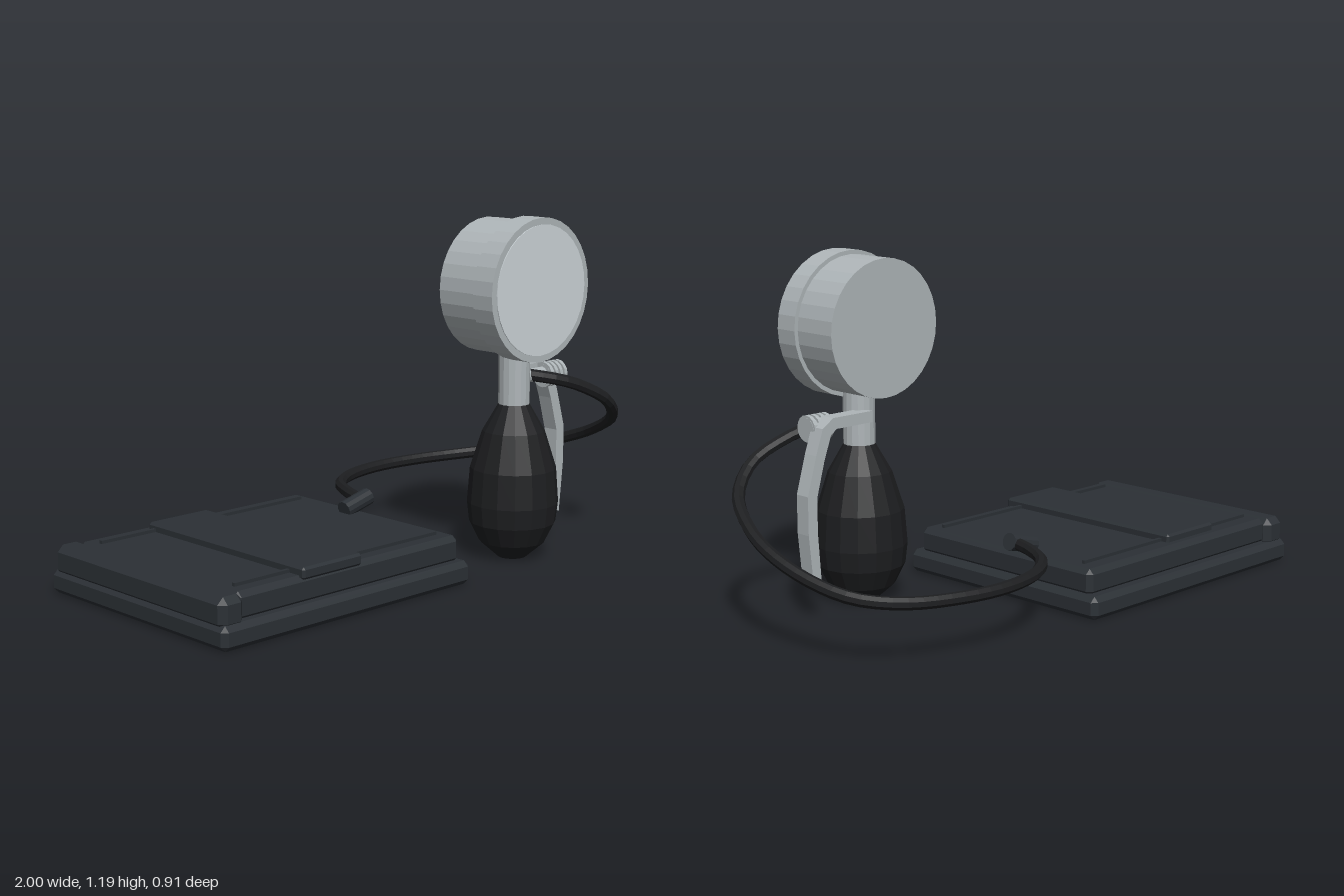
import * as THREE from 'three';
import { ConvexGeometry } from 'three/addons/geometries/ConvexGeometry.js';

const mat = (color) => new THREE.MeshStandardMaterial({ color, flatShading: true });

// Box between two corners with every edge chamfered by c
function chamferBox(x0, x1, y0, y1, z0, z1, c) {
  const pts = [];
  for (const [x, sx] of [[x0, 1], [x1, -1]])
    for (const [y, sy] of [[y0, 1], [y1, -1]])
      for (const [z, sz] of [[z0, 1], [z1, -1]]) {
        pts.push(new THREE.Vector3(x, y + sy * c, z + sz * c));
        pts.push(new THREE.Vector3(x + sx * c, y, z + sz * c));
        pts.push(new THREE.Vector3(x + sx * c, y + sy * c, z));
      }
  return new ConvexGeometry(pts);
}

export function createModel() {
  const model = new THREE.Group();
  model.name = 'bloodPressureGauge';
  const fabric = mat(0x2b3035), rubber = mat(0x1d1e20), metal = mat(0xaeb5b8), glass = mat(0xccd4d8);

  const add = (name, geometry, material, parent = model) => {
    const mesh = new THREE.Mesh(geometry, material);
    mesh.name = name;
    parent.add(mesh);
    return mesh;
  };
  // Cylinder whose axis runs between two points
  const rod = (name, a, b, r, sides, material, parent) => {
    const from = new THREE.Vector3(...a), to = new THREE.Vector3(...b);
    const dir = to.clone().sub(from);
    const mesh = add(name, new THREE.CylinderGeometry(r, r, dir.length(), sides), material, parent);
    mesh.position.copy(from).add(to).multiplyScalar(0.5);
    mesh.quaternion.setFromUnitVectors(new THREE.Vector3(0, 1, 0), dir.normalize());
    return mesh;
  };

  // Folded cuff
  const cuff = new THREE.Group();
  cuff.name = 'cuff';
  model.add(cuff);
  add('cuffBottomLayer', chamferBox(-1, 0.06, 0, 0.08, -0.455, 0.43, 0.018), fabric, cuff);
  add('cuffTopLayer', chamferBox(-0.92, 0.04, 0.07, 0.163, -0.415, 0.395, 0.018), fabric, cuff);
  add('cuffFold', chamferBox(-0.995, -0.9, 0.06, 0.163, -0.44, 0.415, 0.022), fabric, cuff);
  add('cuffStrap', chamferBox(-0.66, -0.41, 0.15, 0.19, -0.375, 0.4, 0.008), fabric, cuff);
  for (const z of [-0.34, 0.33]) {
    const seam = add('cuffSeam', new THREE.BoxGeometry(0.87, 0.016, 0.012), fabric, cuff);
    seam.position.set(-0.445, 0.166, z);
  }
  rod('hoseConnector', [-0.04, 0.176, -0.08], [0.075, 0.206, -0.08], 0.03, 12, fabric, cuff);

  // Squeeze bulb
  const profile = [[0, 0], [0.05, 0.003], [0.115, 0.06], [0.15, 0.13], [0.158, 0.2], [0.149, 0.32],
    [0.108, 0.45], [0.053, 0.545], [0, 0.545]].map(([r, y]) => new THREE.Vector2(r, y));
  add('bulb', new THREE.LatheGeometry(profile, 16), rubber).position.set(0.41, 0, 0.295);

  // Dial gauge on its neck
  const gauge = new THREE.Group();
  gauge.name = 'gauge';
  model.add(gauge);
  rod('neck', [0.41, 0.53, 0.295], [0.41, 0.74, 0.295], 0.054, 16, metal, gauge);
  rod('gaugeBody', [0.41, 0.945, 0.16], [0.41, 0.945, 0.33], 0.231, 32, metal, gauge);
  rod('gaugeBezel', [0.41, 0.945, 0.325], [0.41, 0.945, 0.41], 0.245, 32, metal, gauge);
  rod('dialGlass', [0.41, 0.945, 0.4], [0.41, 0.945, 0.413], 0.222, 32, glass, gauge);

  // Release valve with a ridged knob
  const valve = new THREE.Group();
  valve.name = 'valve';
  model.add(valve);
  rod('valveStem', [0.44, 0.63, 0.295], [0.56, 0.63, 0.295], 0.024, 12, metal, valve);
  rod('valveKnobCore', [0.555, 0.625, 0.295], [0.64, 0.625, 0.295], 0.037, 16, metal, valve);
  for (let i = 0; i < 4; i++) {
    const x = 0.556 + i * 0.023;
    rod('valveKnobRidge', [x, 0.625, 0.295], [x + 0.014, 0.625, 0.295], 0.045, 16, metal, valve);
  }

  // Bent finger lever behind the valve
  const outline = [[0.42, 0.665], [0.59, 0.665], [0.635, 0.635], [0.665, 0.55], [0.703, 0.42], [0.703, 0.29],
    [0.685, 0.11], [0.652, 0.125], [0.664, 0.29], [0.664, 0.41], [0.63, 0.53], [0.6, 0.61], [0.575, 0.627],
    [0.42, 0.627]];
  const leverShape = new THREE.Shape(outline.map(([x, y]) => new THREE.Vector2(x, y)));
  const lever = new THREE.ExtrudeGeometry(leverShape, { depth: 0.056, bevelEnabled: false });
  add('lever', lever, metal).position.z = 0.217;

  // Hose looping from the valve round to the cuff
  const path = new THREE.CatmullRomCurve3([
    [0.48, 0.635, 0.3], [0.57, 0.615, 0.35], [0.66, 0.585, 0.378], [0.78, 0.523, 0.4], [0.885, 0.44, 0.345],
    [0.95, 0.365, 0.21], [0.975, 0.31, 0.07], [0.96, 0.255, -0.1], [0.91, 0.22, -0.24],
    [0.8, 0.203, -0.34], [0.63, 0.197, -0.405], [0.45, 0.195, -0.425], [0.27, 0.195, -0.385],
    [0.15, 0.197, -0.3], [0.085, 0.198, -0.19], [0.045, 0.196, -0.08],
  ].map((p) => new THREE.Vector3(...p)));
  add('hose', new THREE.TubeGeometry(path, 48, 0.021, 8), rubber);

  return model;
}
